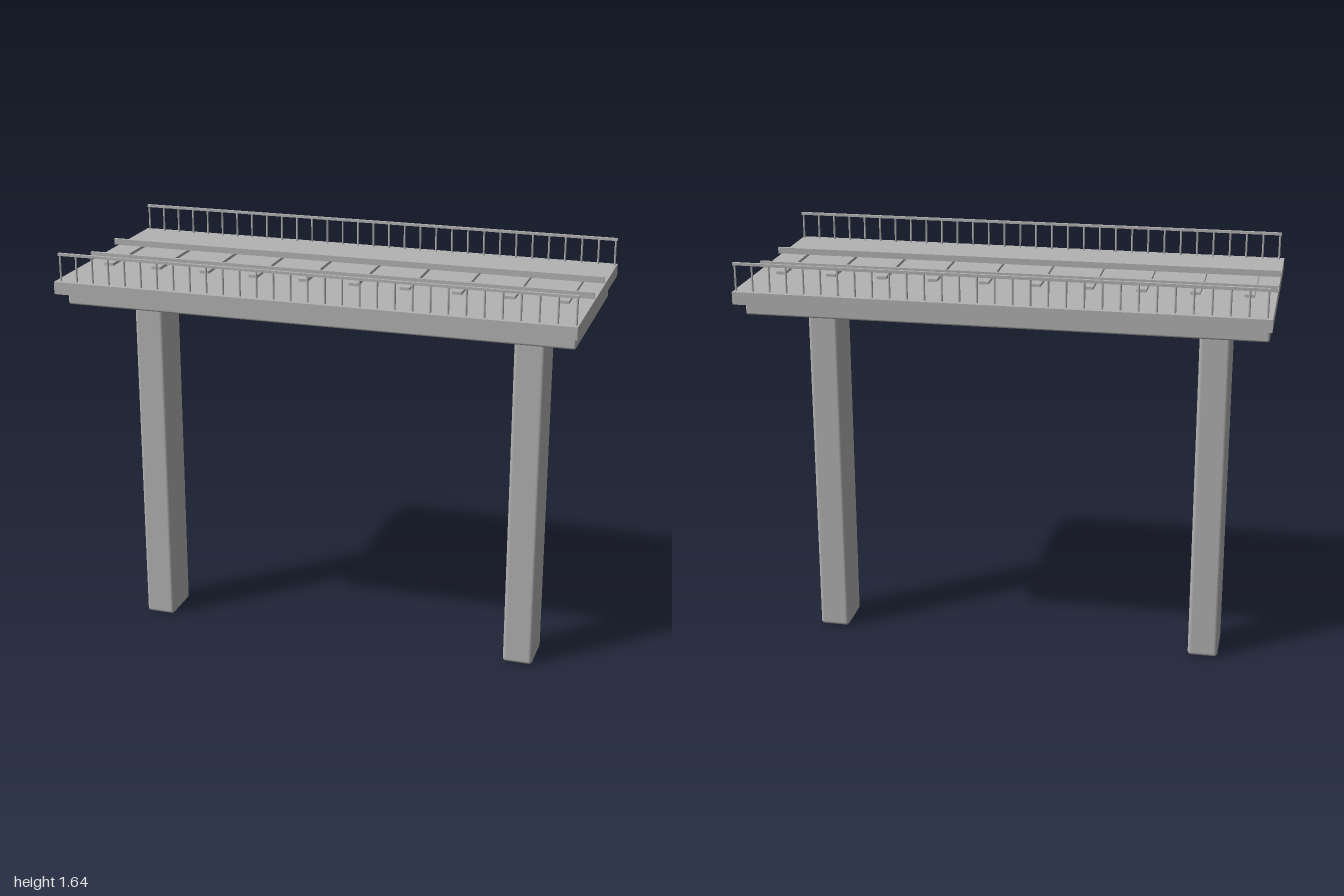
import * as THREE from 'three';
import { RoundedBoxGeometry } from 'three/addons/geometries/RoundedBoxGeometry.js';

export function createModel() {
  const group = new THREE.Group();
  const concrete = new THREE.MeshStandardMaterial({ color: 0xb3b3b3 });
  concrete.name = 'concrete grey';

  const add = (name, geometry, x, y, z) => {
    const mesh = new THREE.Mesh(geometry, concrete);
    mesh.name = name;
    mesh.position.set(x, y, z);
    group.add(mesh);
    return mesh;
  };
  const box = (w, h, d) => new THREE.BoxGeometry(w, h, d);

  // Two tall piers with softened edges
  const pierGeometry = new RoundedBoxGeometry(0.12, 1.483, 0.18, 3, 0.015);
  for (const x of [-0.775, 0.765]) add('pier', pierGeometry, x, 0.7415, 0);

  // Support slab and deck above it
  add('supportSlab', new RoundedBoxGeometry(1.97, 0.056, 0.72, 2, 0.008), -0.003, 1.446, 0);
  add('deck', box(2, 0.048, 0.9), 0, 1.506, 0);

  // Sleepers across the track
  const sleeperGeometry = box(0.037, 0.012, 0.34);
  for (let i = 0; i < 10; i++) add('sleeper', sleeperGeometry, -0.9 + i * 0.2, 1.535, 0);

  // Running rails and side railings, mirrored front and back
  const trackRail = box(2, 0.024, 0.012);
  const handrail = box(1.984, 0.01, 0.011);
  const post = new THREE.CylinderGeometry(0.004, 0.004, 0.106, 8);
  for (const side of [-1, 1]) {
    add('trackRail', trackRail, 0, 1.553, side * 0.112);
    add('handrail', handrail, 0.006, 1.633, side * 0.427);
    for (let i = 0; i <= 30; i++) {
      add('railingPost', post, -0.98 + i * 0.0657, 1.58, side * 0.427);
    }
  }
  return group;
}
